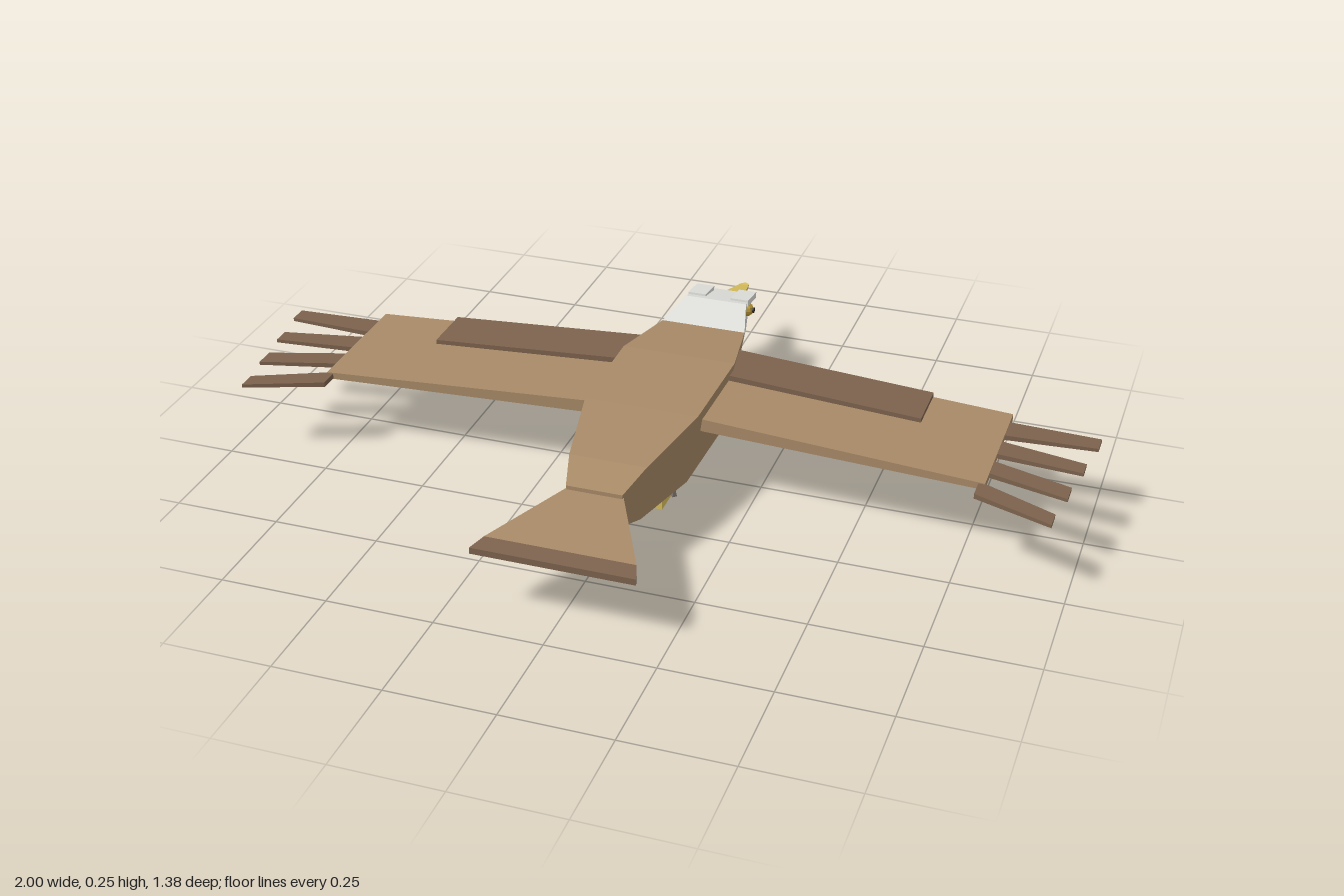
import * as THREE from 'three';

const mat = (name, color) => {
  const m = new THREE.MeshStandardMaterial({ color });
  m.name = name;
  return m;
};

// Skin over a list of four-cornered rings, closed at both ends, with flat faces
function loft(rings, flip = false) {
  const pos = [];
  const quad = (a, b, c, d) => {
    const q = flip ? [a, c, b, a, d, c] : [a, b, c, a, c, d];
    q.forEach((p) => pos.push(...p));
  };
  for (let r = 0; r < rings.length - 1; r++) {
    const a = rings[r], b = rings[r + 1];
    for (let i = 0; i < 4; i++) {
      const j = (i + 1) % 4;
      quad(a[i], a[j], b[j], b[i]);
    }
  }
  const first = rings[0], last = rings[rings.length - 1];
  quad(first[3], first[2], first[1], first[0]);
  quad(last[0], last[1], last[2], last[3]);
  const g = new THREE.BufferGeometry();
  g.setAttribute('position', new THREE.Float32BufferAttribute(pos, 3));
  g.computeVertexNormals();
  return g;
}

// Rows along z: [z, half width at top, half width at bottom, top y, bottom y]
const alongZ = (rows) => loft(rows.map(([z, wt, wb, yt, yb]) =>
  [[-wb, yb, z], [wb, yb, z], [wt, yt, z], [-wt, yt, z]]));

// Rows along x, for one side: [x, front z, back z, top y, bottom y]
const alongX = (rows, side) => loft(rows.map(([x, zf, zb, yt, yb]) =>
  [[side * x, yb, zb], [side * x, yb, zf], [side * x, yt, zf], [side * x, yt, zb]]), side < 0);

export function createModel() {
  const brown = mat('brown plumage', 0xa88a67);
  const dark = mat('dark feathers', 0x7c624d);
  const white = mat('white head', 0xdededa);
  const gold = mat('yellow beak and feet', 0xd8be5c);
  const eyeGold = mat('eye amber', 0xb8983a);
  const black = mat('pupil black', 0x2a241c);
  const grey = mat('claw grey', 0x77706c);

  const bird = new THREE.Group();
  bird.name = 'flyingBird';
  const add = (name, geometry, material, parent = bird) => {
    const m = new THREE.Mesh(geometry, material);
    m.name = name;
    parent.add(m);
    return m;
  };

  // Body and head
  add('body', alongZ([
    [-0.33, 0.105, 0.085, 0.22, 0.08],
    [-0.14, 0.138, 0.113, 0.237, 0.058],
    [0.13, 0.135, 0.11, 0.237, 0.062],
    [0.35, 0.09, 0.075, 0.22, 0.085],
    [0.437, 0.065, 0.055, 0.195, 0.11],
  ]), brown);
  add('head', alongZ([
    [-0.537, 0.058, 0.048, 0.222, 0.12],
    [-0.43, 0.078, 0.065, 0.245, 0.098],
    [-0.33, 0.105, 0.085, 0.22, 0.08],
  ]), white);

  // Beak with its downward hook
  add('upperBeak', alongZ([
    [-0.69, 0.008, 0.006, 0.171, 0.16],
    [-0.665, 0.014, 0.012, 0.176, 0.155],
    [-0.537, 0.033, 0.033, 0.202, 0.16],
  ]), gold);
  add('lowerBeak', alongZ([
    [-0.645, 0.01, 0.008, 0.16, 0.149],
    [-0.537, 0.029, 0.024, 0.165, 0.125],
  ]), gold);
  const hook = add('beakHook', new THREE.ConeGeometry(0.013, 0.05, 4).toNonIndexed(), gold);
  hook.geometry.computeVertexNormals();
  hook.rotation.x = Math.PI;
  hook.position.set(0, 0.149, -0.677);

  // Tail fan with a darker tip band
  add('tail', alongZ([
    [0.43, 0.065, 0.065, 0.186, 0.161],
    [0.645, 0.17, 0.17, 0.169, 0.152],
  ]), brown);
  add('tailTip', alongZ([
    [0.645, 0.17, 0.17, 0.169, 0.152],
    [0.69, 0.185, 0.185, 0.165, 0.15],
  ]), dark);

  // Wing tip feathers: root front z, root back z, tip x, tip front z, tip back z
  const feathers = [
    [-0.16, -0.095, 1.0, -0.15, -0.105],
    [-0.07, -0.01, 0.985, -0.03, 0.012],
    [0.02, 0.075, 0.97, 0.08, 0.13],
    [0.12, 0.175, 0.955, 0.2, 0.245],
  ];

  for (const side of [1, -1]) {
    const wing = new THREE.Group();
    wing.name = side > 0 ? 'leftWing' : 'rightWing';
    bird.add(wing);
    add('wingPanel', alongX([
      [0.08, -0.243, 0.082, 0.207, 0.175],
      [0.79, -0.195, 0.13, 0.19, 0.174],
    ], side), brown, wing);
    add('wingCovert', alongX([
      [0.1, -0.243, -0.113, 0.22, 0.19],
      [0.6, -0.21, -0.08, 0.205, 0.185],
    ], side), dark, wing);
    for (const [rf, rb, x, tf, tb] of feathers) {
      add('wingFeather', alongX([
        [0.775, rf, rb, 0.188, 0.176],
        [x, tf, tb, 0.187, 0.179],
      ], side), dark, wing);
    }

    // Brow plate and eye
    const brow = add('brow', new THREE.BoxGeometry(0.045, 0.015, 0.072), white);
    brow.position.set(side * 0.055, 0.234, -0.484);
    brow.rotation.x = -0.13;
    const eye = add('eye', new THREE.SphereGeometry(0.017, 8, 6).toNonIndexed(), eyeGold);
    eye.geometry.computeVertexNormals();
    eye.position.set(side * 0.066, 0.205, -0.483);
    const pupil = add('pupil', new THREE.CylinderGeometry(0.007, 0.007, 0.004, 8), black);
    pupil.rotation.z = Math.PI / 2;
    pupil.position.set(side * 0.082, 0.205, -0.483);

    // Tucked foot with three claws
    const foot = add('foot', new THREE.BoxGeometry(0.04, 0.055, 0.09), gold);
    foot.position.set(side * 0.055, 0.05, 0.157);
    for (const dx of [-0.014, 0, 0.014]) {
      const claw = add('claw', new THREE.ConeGeometry(0.008, 0.036, 4).toNonIndexed(), grey);
      claw.geometry.computeVertexNormals();
      claw.position.set(side * 0.055 + dx, 0.018, 0.101);
    }
  }
  return bird;
}
